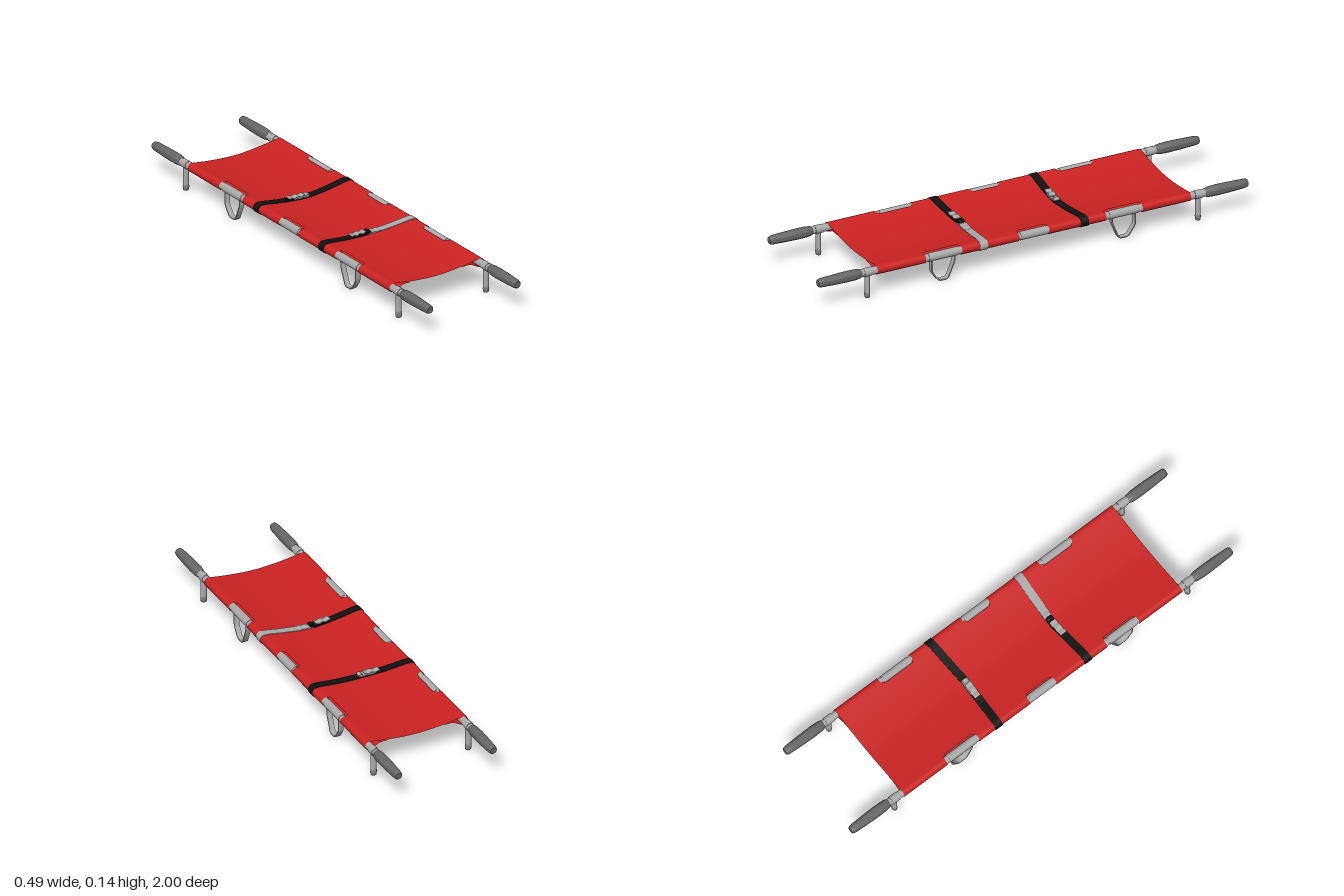
import * as THREE from 'three';
import { toCreasedNormals } from 'three/addons/utils/BufferGeometryUtils.js';

const POLE_X = 0.22, POLE_Y = 0.117, FABRIC_END = 0.73;
const sag = x => 0.115 + 0.021 * Math.pow(Math.abs(x) / 0.215, 1.7);

export function createModel() {
  const root = new THREE.Group();
  const material = (name, color, side = THREE.FrontSide) => {
    const m = new THREE.MeshStandardMaterial({ color, side });
    m.name = name;
    return m;
  };
  const red = material('red canvas', 0xcc2222, THREE.DoubleSide);
  const metal = material('light metal', 0xaaaaaa);
  const rubber = material('grey rubber', 0x666666);
  const black = material('black webbing', 0x111111);
  const footGrey = material('foot grey', 0x808080);

  const add = (name, geo, mat, x = 0, y = 0, z = 0) => {
    const m = new THREE.Mesh(geo, mat);
    m.name = name;
    m.position.set(x, y, z);
    root.add(m);
    return m;
  };

  // Flat band following a 2D path, extruded by its width
  const band = (pts, thick, width) => {
    const outer = [], inner = [];
    pts.forEach((p, i) => {
      const a = pts[Math.max(i - 1, 0)], b = pts[Math.min(i + 1, pts.length - 1)];
      const dx = b[0] - a[0], dy = b[1] - a[1], l = Math.hypot(dx, dy) || 1;
      const nx = -dy / l * thick / 2, ny = dx / l * thick / 2;
      outer.push(new THREE.Vector2(p[0] + nx, p[1] + ny));
      inner.unshift(new THREE.Vector2(p[0] - nx, p[1] - ny));
    });
    const g = new THREE.ExtrudeGeometry(new THREE.Shape([...outer, ...inner]),
      { depth: width, bevelEnabled: false });
    g.translate(0, 0, -width / 2);
    return toCreasedNormals(g, 0.7);
  };

  // Surface through rows of [x, y, z] points
  const loft = rows => {
    const n = rows[0].length, index = [];
    for (let r = 0; r < rows.length - 1; r++)
      for (let c = 0; c < n - 1; c++) {
        const a = r * n + c, b = a + n;
        index.push(a, b, a + 1, b, b + 1, a + 1);
      }
    const g = new THREE.BufferGeometry();
    g.setAttribute('position', new THREE.Float32BufferAttribute(rows.flat(2), 3));
    g.setIndex(index);
    g.computeVertexNormals();
    return g;
  };

  // Points around the outside of a pole, from the top to the bottom
  const wrap = (s, r, steps = 10) => Array.from({ length: steps + 1 }, (_, i) => {
    const a = Math.PI * (0.58 - 1.16 * i / steps);
    return [s * (POLE_X + r * Math.cos(a)), POLE_Y + r * Math.sin(a)];
  });

  // Sagging canvas
  const sheet = [];
  for (let i = 0; i <= 24; i++) {
    const x = -0.2 + 0.4 * i / 24;
    sheet.push([[x, sag(x), -FABRIC_END], [x, sag(x), FABRIC_END]]);
  }
  add('canvasSheet', loft(sheet), red);

  const sleeves = [[-0.73, -0.505], [-0.335, -0.07], [0.07, 0.335], [0.505, 0.73]];
  for (const s of [-1, 1]) {
    // Hem folded back under the sheet
    const hem = [[0.2, 0.104], [0.186, 0.112], [0.172, 0.119], [0.155, 0.121], [0.13, 0.1205]];
    add('canvasHem', loft(hem.map(([x, y]) => [[s * x, y, -FABRIC_END], [s * x, y, FABRIC_END]])), red);

    // Sleeves around the pole, flared at the cut-outs
    for (const [z0, z1] of sleeves) {
      const prof = [[s * 0.2, sag(0.2)], ...wrap(s, 0.0195), [s * 0.2, 0.104]];
      add('canvasSleeve', loft(prof.map(([x, y], i) => {
        const flare = i === 0 || i === prof.length - 1 ? 0.014 : 0;
        return [[x, y, z0 > -0.72 ? z0 - flare : z0], [x, y, z1 < 0.72 ? z1 + flare : z1]];
      })), red);
    }

    // Pole with hinge sleeve and clamps
    const rod = (name, r, len, z) =>
      add(name, new THREE.CylinderGeometry(r, r, len, 24).rotateX(Math.PI / 2), metal, s * POLE_X, POLE_Y, z);
    rod('pole', 0.0165, 1.7, 0);
    rod('poleHinge', 0.0182, 0.12, 0);
    for (const e of [-1, 1]) {
      rod('stirrupClamp', 0.0182, 0.135, e * 0.42);
      rod('legCollar', 0.0185, 0.036, e * 0.77);

      // Hand grip
      const grip = [[0, 0.8], [0.017, 0.8], [0.02, 0.808], [0.0225, 0.825], [0.0235, 0.86], [0.0225, 0.91],
        [0.0205, 0.96], [0.0195, 0.985], [0.017, 0.996], [0.014, 1], [0, 1]].map(p => new THREE.Vector2(...p));
      const g = toCreasedNormals(new THREE.LatheGeometry(grip, 24), 0.7);
      g.rotateX(e * Math.PI / 2);
      add('handGrip', g, rubber, s * POLE_X, POLE_Y, 0);

      // Leg and its rubber foot
      add('leg', new THREE.CylinderGeometry(0.0135, 0.0135, 0.085, 20).scale(1, 1, 0.75),
        metal, s * POLE_X, 0.0675, e * 0.77);
      const foot = [[0, 0], [0.011, 0], [0.013, 0.003], [0.0145, 0.016], [0.0135, 0.026], [0.012, 0.028], [0, 0.028]]
        .map(p => new THREE.Vector2(...p));
      add('foot', toCreasedNormals(new THREE.LatheGeometry(foot, 20), 0.7).scale(1, 1, 0.85),
        footGrey, s * POLE_X, 0, e * 0.77);

      // Stirrup support below the clamp
      const loop = [[0.473, 0.108], [0.473, 0.055], [0.467, 0.042], [0.445, 0.01], [0.435, 0.004],
        [0.405, 0.004], [0.396, 0.011], [0.368, 0.078], [0.366, 0.108]];
      add('stirrup', band(loop.map(([z, y]) => [-e * z, y]), 0.005, 0.024).rotateY(Math.PI / 2),
        metal, s * POLE_X, 0, 0);
    }
  }

  // Folding cross braces
  const half = [[0.22, 0.1], [0.185, 0.1], [0.168, 0.097], [0.07, 0.065], [0.05, 0.062]];
  const brace = [...half.map(([x, y]) => [-x, y]), ...half.slice().reverse()];
  for (const e of [-1, 1]) add('crossBrace', band(brace, 0.0035, 0.02), metal, 0, 0, e * 0.45);

  // Webbing straps, drawn slightly inward at the middle
  const bend = (geo, z, lift) => {
    const p = geo.attributes.position;
    for (let i = 0; i < p.count; i++)
      p.setZ(i, p.getZ(i) + z - Math.sign(z) * lift * Math.max(0, 1 - Math.abs(p.getX(i)) / 0.24));
    geo.computeBoundingSphere();
    return geo;
  };
  const strapHalf = (s, xEnd, mat, z) => {
    const pts = [[s * 0.15, 0.117], [s * 0.178, 0.113], [s * 0.2, 0.1015], ...wrap(s, 0.0215).reverse()];
    for (let i = 0; i <= 10; i++) {
      const x = 0.2 + (xEnd - 0.2) * i / 10;
      pts.push([s * x, sag(x) + 0.004]);
    }
    add('strap', bend(band(pts, 0.002, 0.036), z, 0.014), mat);
  };
  const wavy = (name, x0, x1, y, amp, width, mat, z) => {
    const pts = Array.from({ length: 17 }, (_, i) =>
      [x0 + (x1 - x0) * i / 16, y + amp * Math.sin(i * 0.9)]);
    add(name, bend(band(pts, 0.003, width), z, 0.014), mat);
  };
  [[0.235, metal], [-0.235, black]].forEach(([z, rightMat]) => {
    strapHalf(-1, 0.0, black, z);
    strapHalf(1, 0.0, rightMat, z);
    // Buckle: loose tail, tongue plate and latch
    wavy('strapTail', -0.085, -0.012, 0.13, 0.0025, 0.03, metal, z);
    wavy('buckleTongue', -0.06, 0.012, 0.124, 0.001, 0.034, z > 0 ? black : metal, z);
    const ring = new THREE.TorusGeometry(0.007, 0.002, 8, 16);
    ring.scale(1.2, 0.8, 7);
    add('buckleRoller', bend(ring, z, 0.014), z > 0 ? black : metal, 0.004, 0.126);
    if (z > 0) wavy('strapFold', 0.018, 0.08, 0.1215, 0.0015, 0.036, metal, z);
    else wavy('strapEnd', -0.115, -0.09, 0.125, 0.0015, 0.036, black, z);
  });

  return root;
}
